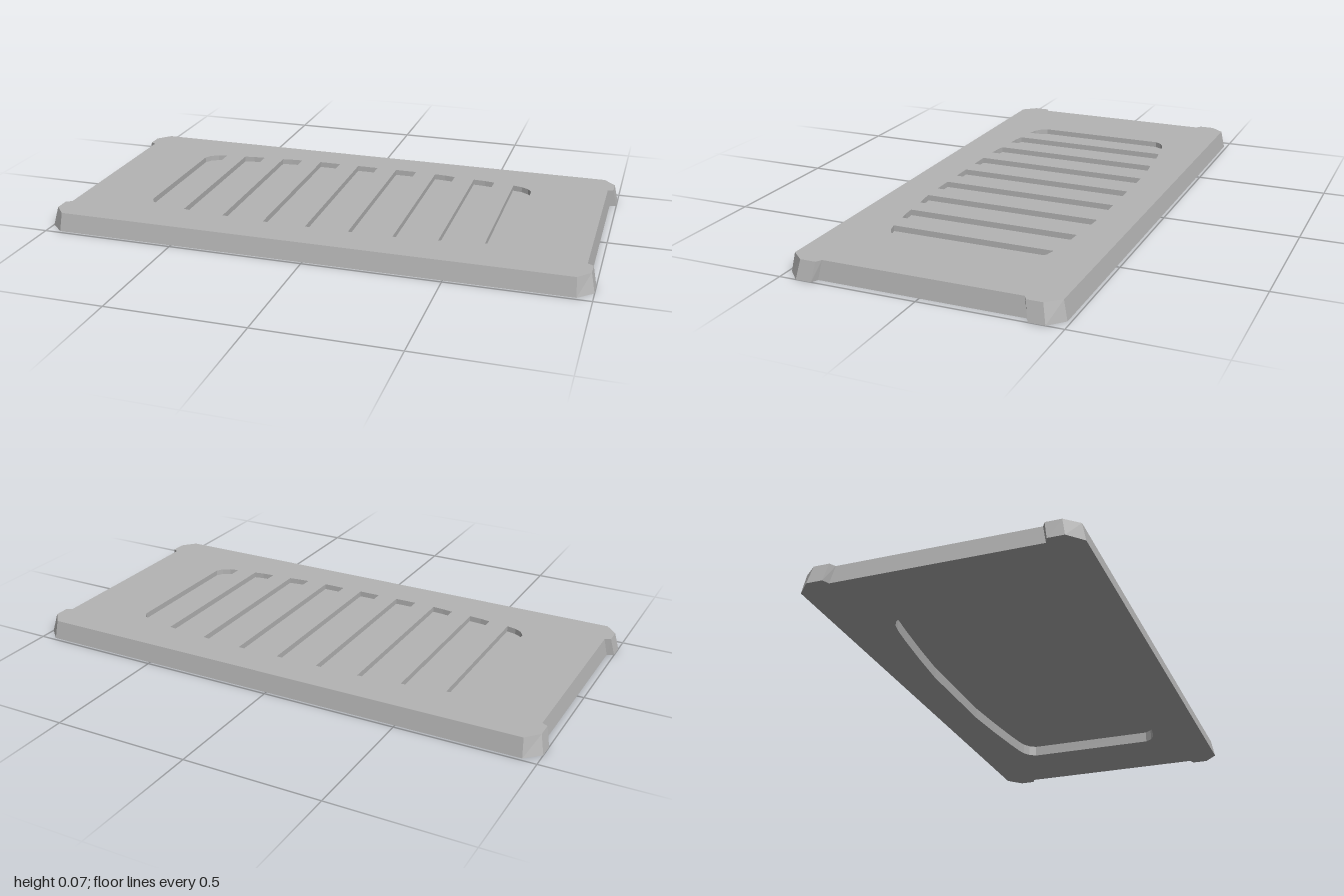
import * as THREE from 'three';
import { mergeGeometries } from 'three/addons/utils/BufferGeometryUtils.js';

const HEIGHT = 0.068, SLOT_FLOOR = 0.047, POCKET_CEILING = 0.041, SHIFT = -0.005;

// Mirrors one corner profile of [x, z] points (front to side) into a full loop
function mirrorLoop(corner, shift = 0) {
  const back = [...corner].reverse();
  return [
    ...corner.map(([x, z]) => [x, z + shift]),
    ...back.map(([x, z]) => [x, shift - z]),
    ...corner.map(([x, z]) => [-x, shift - z]),
    ...back.map(([x, z]) => [-x, z + shift]),
  ];
}

// Flat face at height y, facing up (dir 1) or down (dir -1), with optional holes
function cap(loop, y, dir, holes = []) {
  const flat = (l) => l.map(([x, z]) => new THREE.Vector2(x, -dir * z));
  const shape = new THREE.Shape(flat(loop));
  holes.forEach((h) => shape.holes.push(new THREE.Path(flat(h))));
  return new THREE.ShapeGeometry(shape).rotateX(-dir * Math.PI / 2).translate(0, y, 0).toNonIndexed();
}

// Flat-sided wall between a lower and an upper loop; inward walls run the other way
function wall(lower, y0, upper, y1, inward = false) {
  const pos = [], uv = [];
  const lo = inward ? [...lower].reverse() : lower;
  const hi = inward ? [...upper].reverse() : upper;
  lo.forEach((a, i) => {
    const j = (i + 1) % lo.length;
    const A = [a[0], y0, a[1]], B = [lo[j][0], y0, lo[j][1]];
    const C = [hi[j][0], y1, hi[j][1]], D = [hi[i][0], y1, hi[i][1]];
    pos.push(...A, ...B, ...C, ...A, ...C, ...D);
    uv.push(0, 0, 1, 0, 1, 1, 0, 0, 1, 1, 0, 1);
  });
  const g = new THREE.BufferGeometry();
  g.setAttribute('position', new THREE.Float32BufferAttribute(pos, 3));
  g.setAttribute('uv', new THREE.Float32BufferAttribute(uv, 2));
  g.computeVertexNormals();
  return g;
}

export function createModel() {
  const group = new THREE.Group();
  const grey = new THREE.MeshStandardMaterial({ color: 0xb4b4b4, flatShading: true });
  grey.name = 'plain grey';
  const add = (name, ...geometries) => {
    const mesh = new THREE.Mesh(mergeGeometries(geometries), grey);
    mesh.name = name;
    group.add(mesh);
  };

  // Plate outline with chamfered, projecting corners, tapering towards the top
  const base = mirrorLoop([[0.947, 0.488], [1, 0.438], [1, 0.38], [0.975, 0.369]]);
  const top = mirrorLoop([[0.942, 0.474], [0.985, 0.425], [0.985, 0.368], [0.964, 0.356]]);

  // Half-length profiles of the slots, from the middle outwards
  const profiles = [
    [[0.12, 0.337], [0.203, 0.337]],
    [[0.283, 0.334], [0.325, 0.331], [0.365, 0.325]],
    [[0.444, 0.319], [0.49, 0.316], [0.527, 0.309]],
    [[0.605, 0.299], [0.64, 0.291], [0.667, 0.275], [0.682, 0.25]],
  ];
  const slotLoop = (p) => [
    ...p.map(([x, z]) => [x, z + SHIFT]),
    ...[...p].reverse().map(([x, z]) => [x, SHIFT - z]),
  ];
  const slots = [slotLoop([[-0.041, 0.337], [0.041, 0.337]])];
  for (const p of profiles) {
    slots.push(slotLoop(p), slotLoop(p.map(([x, z]) => [-x, z]).reverse()));
  }

  // Underside pocket follows the outline of the slot field
  const pocket = mirrorLoop([
    [0.203, 0.337], [0.365, 0.325], [0.527, 0.309],
    [0.605, 0.299], [0.64, 0.291], [0.667, 0.275], [0.684, 0.25],
  ], SHIFT);

  add('plateSides', wall(base, 0, top, HEIGHT));
  add('plateTop', cap(top, HEIGHT, 1, slots));
  add('plateUnderside', cap(base, 0, -1, [pocket]));
  add('undersidePocket',
    wall(pocket, 0, pocket, POCKET_CEILING, true), cap(pocket, POCKET_CEILING, -1));
  slots.forEach((s) => add('slot',
    wall(s, SLOT_FLOOR, s, HEIGHT, true), cap(s, SLOT_FLOOR, 1)));

  return group;
}
